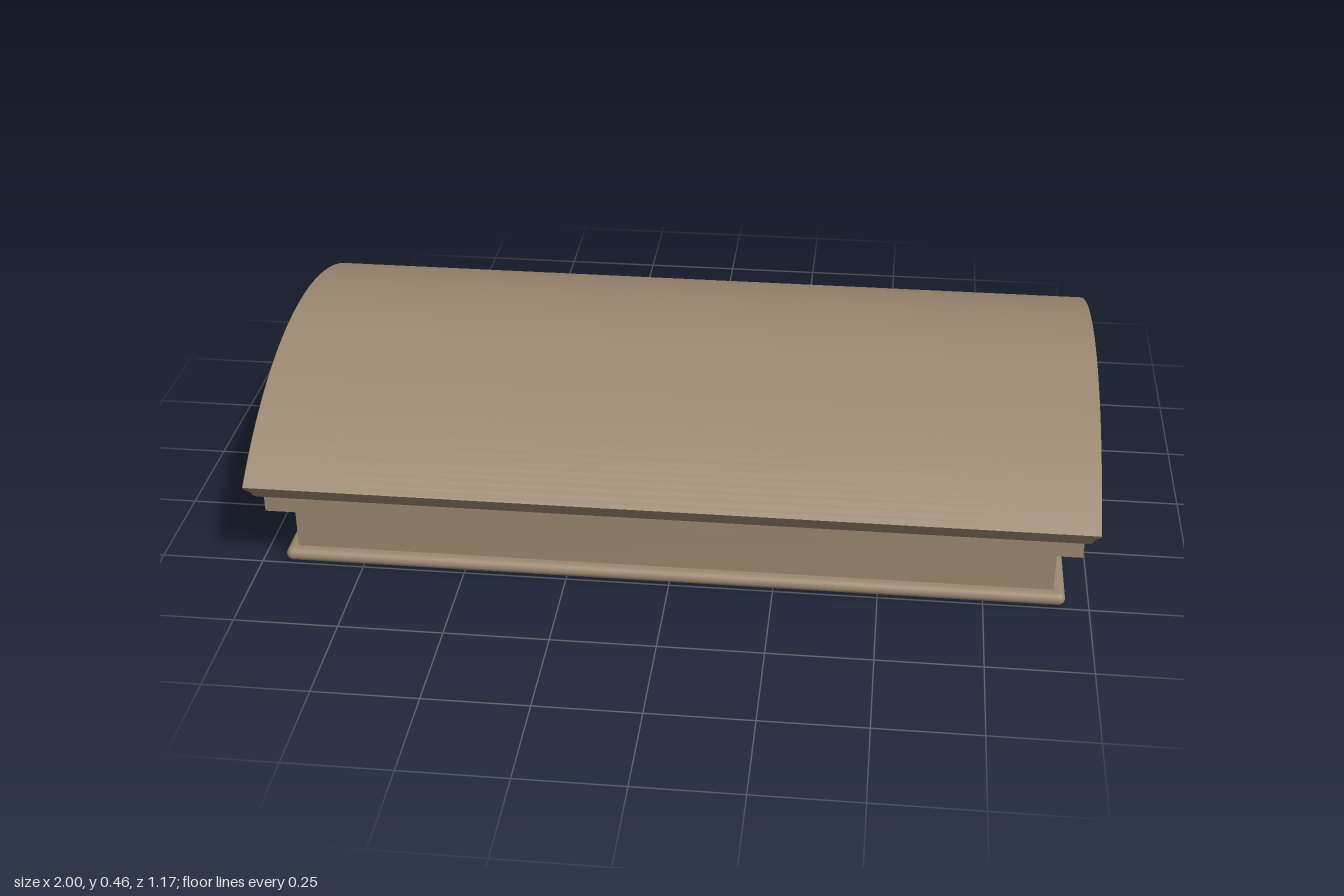
import * as THREE from 'three';
import { RoundedBoxGeometry } from 'three/addons/geometries/RoundedBoxGeometry.js';
import { toCreasedNormals } from 'three/addons/utils/BufferGeometryUtils.js';

const CENTRE_Y = -0.49; // common centre of all arcs

export function createModel() {
  const model = new THREE.Group();
  model.name = 'curvedPediment';
  const stone = new THREE.MeshStandardMaterial({ color: 0x9c8871, side: THREE.DoubleSide });
  stone.name = 'stone';

  const add = (name, geometry, parent = model) => {
    const mesh = new THREE.Mesh(geometry, stone);
    mesh.name = name;
    parent.add(mesh);
    return mesh;
  };
  const box = (name, w, h, d, y) => add(name, new THREE.BoxGeometry(w, h, d)).position.set(0, y + h / 2, 0);

  // Base moulding, frieze and cornice block
  add('baseMoulding', new RoundedBoxGeometry(1.886, 0.033, 0.994, 5, 0.0164)).position.y = 0.0165;
  box('frieze', 1.83, 0.14, 0.942, 0.028);
  box('corniceBlock', 1.94, 0.044, 1.052, 0.164);

  // Moulded vault: half profile of [radius, x], mirrored and swept about the x axis
  const vault = (name, half, degrees) => {
    const group = new THREE.Group();
    group.name = name;
    const a = THREE.MathUtils.degToRad(degrees);
    const points = [
      ...half.map(([r, x]) => new THREE.Vector2(r, -x)),
      ...[...half].reverse().map(([r, x]) => new THREE.Vector2(r, x)),
    ];
    const place = (g) => g
      .applyMatrix4(new THREE.Matrix4().set(0, 1, 0, 0, 0, 0, 1, CENTRE_Y, 1, 0, 0, 0, 0, 0, 0, 1));
    const sweep = new THREE.LatheGeometry([...points, points[0].clone()], 64, -a, 2 * a);
    add('sweep', toCreasedNormals(place(sweep), 0.4), group);
    // Flat ends at the eaves
    for (const phi of [-a, a]) {
      const end = new THREE.ShapeGeometry(new THREE.Shape(points));
      const out = new THREE.Vector3(Math.sin(phi), 0, Math.cos(phi));
      const up = new THREE.Vector3(0, 1, 0);
      end.applyMatrix4(new THREE.Matrix4().makeBasis(out, up, out.clone().cross(up)));
      add('eavesEnd', place(end), group);
    }
    model.add(group);
  };
  vault('outerMoulding', [
    [0.9, 0.976], [0.903, 0.983], [0.91, 0.985], [0.918, 0.986], [0.93, 0.989],
    [0.939, 0.994], [0.943, 0.999], [0.947, 1], [0.953, 1], [0.955, 0.998],
  ], 37.9);
  vault('innerMoulding', [
    [0.871, 0.972], [0.874, 0.974], [0.884, 0.975], [0.886, 0.98], [0.897, 0.982], [0.902, 0.982],
  ], 36.2);

  // Gable: a solid core with a raised frame at each end
  const segment = (Type, r, y, maxZ = 1) => {
    const s = new Type();
    const z = Math.min(maxZ, Math.sqrt(r * r - (y - CENTRE_Y) ** 2));
    const a = Math.asin(z / r);
    s.moveTo(-z, y);
    s.lineTo(z, y);
    s.absarc(0, CENTRE_Y, r, Math.PI / 2 - a, Math.PI / 2 + a, false);
    s.closePath();
    return s;
  };
  const gable = (name, shape, depth, x) => {
    const g = new THREE.ExtrudeGeometry(shape, { depth, bevelEnabled: false, curveSegments: 48 });
    g.translate(0, 0, -depth / 2).rotateY(Math.PI / 2);
    add(name, g).position.x = x;
  };
  gable('tympanum', segment(THREE.Shape, 0.88, 0.208, 0.52), 1.83, 0);
  for (const side of [-1, 1]) {
    const frame = segment(THREE.Shape, 0.88, 0.208, 0.52);
    frame.holes.push(segment(THREE.Path, 0.86, 0.228));
    gable('tympanumFrame', frame, 0.055, side * 0.9425);
  }
  return model;
}
